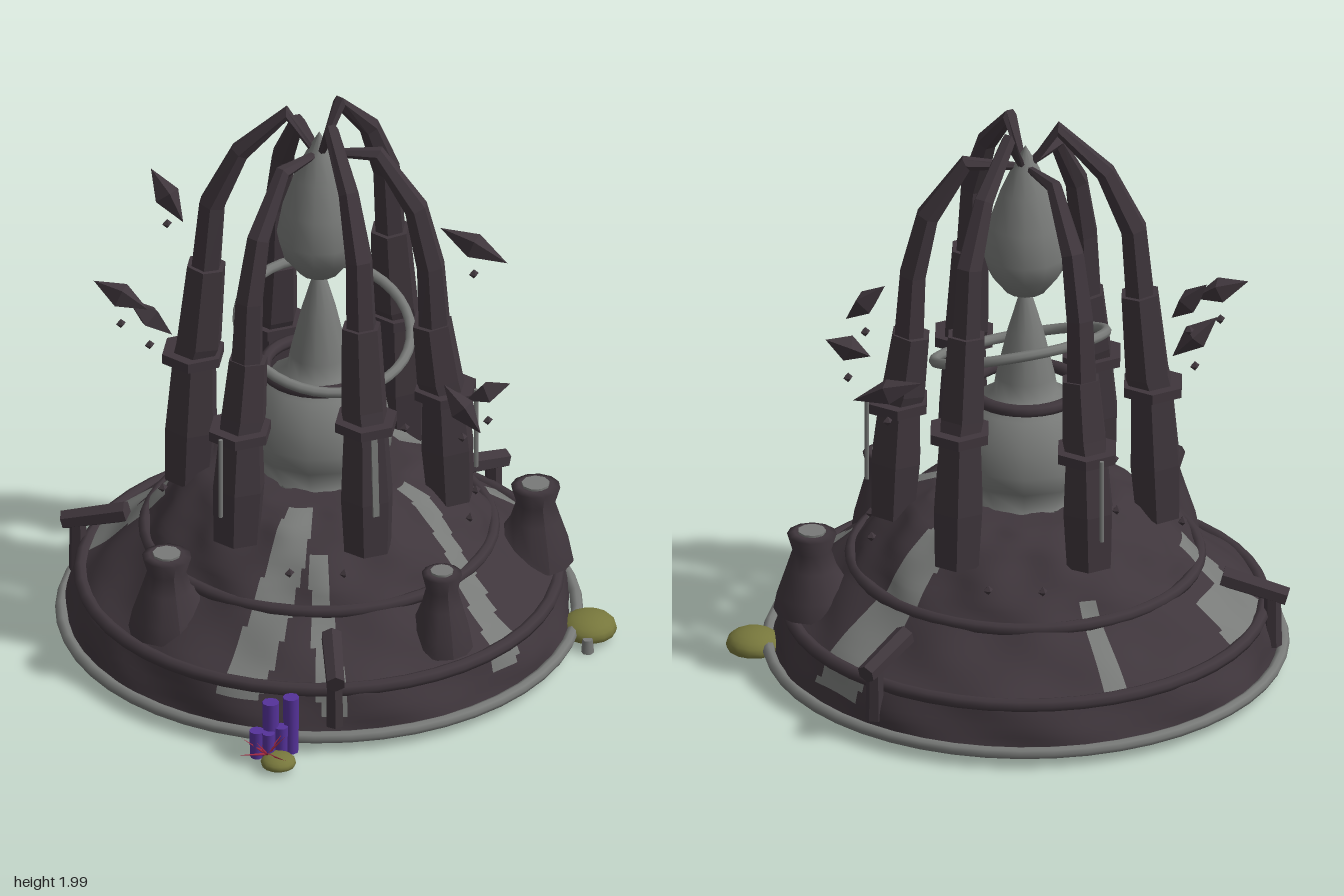
import * as THREE from 'three';

const mat = (name, color, extra = {}) => new THREE.MeshStandardMaterial({ name, color, ...extra });
const rad = THREE.MathUtils.degToRad;
const UP = new THREE.Vector3(0, 1, 0);

export function createModel() {
  const dark = mat('dark stone', 0x3f363c, { flatShading: true });
  const shell = mat('smooth dark stone', 0x3f363c);
  const grey = mat('pale grey', 0x787a78);
  const purple = mat('purple coral', 0x55329a);
  const olive = mat('olive sponge', 0x77773c);
  const red = mat('red coral', 0xa82a44);

  const model = new THREE.Group();
  model.name = 'tower';
  const body = new THREE.Group();
  body.name = 'body';
  body.position.set(-0.006, 0, -0.015);
  model.add(body);

  const add = (name, geo, material, pos = [0, 0, 0], rot = [0, 0, 0], parent = body) => {
    const m = new THREE.Mesh(geo, material);
    m.name = name;
    m.position.set(...pos);
    m.rotation.set(...rot);
    parent.add(m);
    return m;
  };
  const spoke = (name, degrees) => {
    const g = new THREE.Group();
    g.name = name;
    g.rotation.y = rad(degrees);
    body.add(g);
    return g;
  };
  const lathe = (pts, n) => new THREE.LatheGeometry(pts.map(p => new THREE.Vector2(...p)), n);

  // Trim the foot of a part so that it follows the slope of the mound
  const settle = (geo) => {
    const p = geo.attributes.position;
    for (let i = 0; i < p.count; i++) {
      const slope = 0.2 + 0.92 * (0.805 - Math.hypot(p.getX(i), p.getZ(i)));
      p.setY(i, Math.max(p.getY(i), slope - 0.035));
    }
    geo.computeVertexNormals();
    return geo;
  };

  // Loft of polygon rings along a path of [radius from axis, height, thickness]
  const loft = (path, n = 6) => {
    const pos = [], idx = [];
    path.forEach(([r, y, t], i) => {
      const a = path[Math.max(i - 1, 0)], b = path[Math.min(i + 1, path.length - 1)];
      const tan = new THREE.Vector2(b[0] - a[0], b[1] - a[1]).normalize();
      for (let j = 0; j < n; j++) {
        const c = Math.cos(j / n * Math.PI * 2) * t, s = Math.sin(j / n * Math.PI * 2) * t;
        pos.push(c, y + tan.x * s, r - tan.y * s);
      }
    });
    for (let i = 0; i < path.length - 1; i++) for (let j = 0; j < n; j++) {
      const a = i * n + j, b = i * n + (j + 1) % n;
      idx.push(a, b, b + n, a, b + n, a + n);
    }
    const top = (path.length - 1) * n;
    for (let j = 1; j < n - 1; j++) idx.push(0, j + 1, j, top, top + j, top + j + 1);
    const g = new THREE.BufferGeometry();
    g.setAttribute('position', new THREE.Float32BufferAttribute(pos, 3));
    g.setIndex(idx);
    const flat = g.toNonIndexed();
    flat.computeVertexNormals();
    return flat;
  };

  // Mound: wavy revolved shell with pale streaks chosen cell by cell
  const profile = [[0.856, 0.03], [0.838, 0.11], [0.805, 0.2], [0.74, 0.25], [0.67, 0.31], [0.59, 0.38],
    [0.545, 0.44], [0.48, 0.51], [0.4, 0.58], [0.31, 0.618], [0.2, 0.622]];
  // Streaks: [angle at foot, angle at top, width at foot, width at top, lowest height, highest height]
  const streaks = [[-43, -33, 9, 16, 0.15, 0.618], [-17, -23, 7, 7, 0.12, 0.53], [25, 40, 7, 11, 0.14, 0.618],
    [100, 106, 14, 18, 0.12, 0.618], [174, 173, 6, 6, 0.18, 0.44], [226, 228, 26, 26, 0.2, 0.33],
    [236, 236, 12, 12, 0.33, 0.46]];
  const mound = (inside) => {
    const n = 240, sub = 4, rows = (profile.length - 1) * sub, pos = [], base = [], pale = [], heights = [];
    for (let i = 0; i <= rows; i++) {
      const k = Math.min(Math.floor(i / sub), profile.length - 2), f = i / sub - k;
      const r = THREE.MathUtils.lerp(profile[k][0], profile[k + 1][0], f);
      const y = THREE.MathUtils.lerp(profile[k][1], profile[k + 1][1], f);
      heights.push(y);
      for (let j = 0; j < n; j++) {
        const a = j / n * Math.PI * 2, p = i / sub;
        const w = r + 0.008 * Math.sin(a * 9 + p * 1.7) + 0.006 * Math.sin(a * 14 - p) - (inside ? 0.008 : 0);
        pos.push(Math.sin(a) * w, y - (inside ? 0.004 : 0), Math.cos(a) * w);
      }
    }
    for (let i = 0; i < rows; i++) for (let j = 0; j < n; j++) {
      const y = (heights[i] + heights[i + 1]) / 2, deg = (j + 0.5) * 360 / n, t = (y - 0.03) / 0.59;
      const hit = !inside && streaks.some(([a0, a1, w0, w1, y0, y1]) => y > y0 && y < y1 &&
        Math.abs((deg - a0 - (a1 - a0) * t + 900) % 360 - 180) < (w0 + (w1 - w0) * t) / 2);
      const a = i * n + j, b = i * n + (j + 1) % n;
      const f = [a, b, b + n, a, b + n, a + n];
      (hit ? pale : base).push(...(inside ? f.reverse() : f));
    }
    const g = new THREE.BufferGeometry();
    g.setAttribute('position', new THREE.Float32BufferAttribute(pos, 3));
    g.setIndex([...base, ...pale]);
    g.addGroup(0, base.length, 0);
    g.addGroup(base.length, pale.length, 1);
    g.computeVertexNormals();
    return g;
  };
  add('mound', mound(false), [shell, grey]);
  add('moundInside', mound(true), [shell, grey]);

  // Hoops round the mound
  [[0.87, 0.052, 0.021, grey], [0.805, 0.2, 0.024, shell], [0.588, 0.378, 0.022, shell]].forEach(([r, y, t, m]) =>
    add('hoop', new THREE.TorusGeometry(r, t, 8, 48), m, [0, y, 0], [Math.PI / 2, 0, 0]));

  // Centre: round bulb with spire, hanging drop and rings
  add('bulb', lathe([[0, 0.6], [0.29, 0.605], [0.2, 0.62], [0.245, 0.71], [0.25, 0.77], [0.235, 0.86], [0.18, 0.95],
    [0.11, 0.99], [0.1, 1.05], [0.06, 1.22], [0.025, 1.34], [0, 1.38]], 12), grey);
  add('drop', lathe([[0, 1.355], [0.07, 1.37], [0.125, 1.44], [0.145, 1.51], [0.125, 1.62], [0.085, 1.74],
    [0.045, 1.83], [0, 1.91]], 12), grey);
  add('bulbCollar', new THREE.TorusGeometry(0.185, 0.022, 8, 28), shell, [0, 1, 0], [Math.PI / 2, 0, 0]);
  add('tiltedRing', new THREE.TorusGeometry(0.295, 0.018, 8, 40), grey, [0.015, 1.155, 0.01], [Math.PI / 2 + rad(21), 0, 0]);

  // Six columns, alternately tall and short, with legs curving in to the top
  for (let i = 0; i < 6; i++) {
    const tall = i % 2 === 0, g = spoke('column', i * 60);
    const top = tall ? 1.36 : 1.2, collar = tall ? 1.01 : 0.94;
    add('sleeve', settle(loft([[0.445, 0.53, 0.085], [0.437, 0.73, 0.094], [0.425, collar, 0.078],
      [0.41, collar + 0.05, 0.082], [0.385, top, 0.07]])), dark, [0, 0, 0], [0, 0, 0], g);
    add('leg', loft(tall
      ? [[0.39, 1.3, 0.055], [0.365, 1.6, 0.048], [0.27, 1.81, 0.036], [0.11, 1.972, 0.026], [0.015, 1.83, 0.012]]
      : [[0.395, 1.15, 0.058], [0.38, 1.42, 0.05], [0.33, 1.64, 0.042], [0.2, 1.84, 0.028], [0.015, 1.83, 0.012]]),
    dark, [0, 0, 0], [0, 0, 0], g);
    add('columnCollar', new THREE.CylinderGeometry(0.112, 0.112, 0.035, 6), dark, [0, collar, 0.43], [0, Math.PI / 6, 0], g);
    if (!tall) add('hangingRod', new THREE.CylinderGeometry(0.008, 0.008, 0.3, 5), grey, [0, 0.8, 0.535], [0, 0, 0], g);
    else if (i === 0) add('inlay', new THREE.BoxGeometry(0.022, 0.3, 0.008), grey, [0, 0.84, 0.513], [-0.06, 0, 0], g);
  }

  // Chimney urns standing on the slope
  [[-0.64, 0.22, 1], [0.69, 0.24, 1], [0.18, 0.67, 0.82]].forEach(([x, z, s]) => {
    const urn = lathe([[0.13, 0], [0.118, 0.06], [0.085, 0.16], [0.066, 0.22], [0.084, 0.28], [0.06, 0.288], [0, 0.275]], 12);
    add('chimney', settle(urn.scale(s, 1, s).translate(x, 0.23, z)), shell);
    add('chimneyOpening', new THREE.CylinderGeometry(0.048 * s, 0.048 * s, 0.012, 9), grey, [x, 0.517, z]);
  });

  // Brackets: a post at the rim with a sloping arm
  [-18, 114, -126].forEach(a => {
    const g = spoke('bracket', a);
    add('post', new THREE.CylinderGeometry(0.028, 0.032, 0.21, 6), dark, [0, 0.19, 0.84], [0, 0, 0], g);
    add('arm', new THREE.CylinderGeometry(0.034, 0.038, 0.23, 6), dark, [0, 0.3, 0.78], [Math.PI / 2 + 0.28, 0, 0], g);
  });

  // Floating shards as [centre, half-length vector], each with a small fragment beneath
  [[[-0.64, 1.3, -0.2], [0.075, -0.04, 0.06]], [[-0.52, 1.17, -0.24], [0.07, -0.07, 0.03]],
    [[0.64, 1.22, -0.2], [0.09, -0.045, 0.08]], [[0.43, 1.05, 0.46], [0.07, 0.035, 0.03]],
    [[0.27, 1.11, 0.63], [-0.045, 0.075, -0.055]], [[-0.35, 1.46, -0.51], [-0.035, 0.08, -0.06]]].forEach(([c, d]) => {
    const axis = new THREE.Vector3(...d);
    const shard = add('shard', new THREE.OctahedronGeometry(1), dark, c);
    shard.scale.set(0.045, axis.length(), 0.045);
    shard.quaternion.setFromUnitVectors(UP, axis.normalize());
    add('fragment', new THREE.OctahedronGeometry(0.018), dark, [c[0], c[1] - 0.11, c[2]]);
  });
  // Studs scattered on the slope
  for (let i = 0; i < 14; i++) {
    const a = i * 2.4, low = i % 2;
    const r = low ? 0.53 : 0.36;
    add('stud', new THREE.OctahedronGeometry(0.018), dark, [Math.sin(a) * r, low ? 0.49 : 0.63, Math.cos(a) * r]);
  }

  // Coral cluster at the front right foot
  [[-0.43, 0.8, 0.21, 0.028], [-0.5, 0.79, 0.2, 0.029], [-0.55, 0.79, 0.1, 0.026], [-0.47, 0.81, 0.11, 0.024],
    [-0.52, 0.82, 0.1, 0.022]].forEach(([x, z, h, r]) =>
    add('coralTube', new THREE.CylinderGeometry(r, r * 0.9, h, 9), purple, [x, 0.025 + h / 2, z], [0, 0, 0], model));
  for (let i = 0; i < 10; i++)
    add('coralSpike', new THREE.ConeGeometry(0.006, 0.1, 4).translate(0, 0.05, 0), red,
      [-0.53, 0.05, 0.83], [0, i * 0.63, -0.7 - (i % 3) * 0.35], model);

  // Sponges and a pebble touching the ground
  const dome = new THREE.SphereGeometry(1, 14, 6, 0, Math.PI * 2, 0, Math.PI * 0.6);
  const sponge = new THREE.Group();
  sponge.name = 'sponges';
  model.add(sponge);
  [[-0.5, 0.03, 0.86, 0.06, 0.03], [0.8, 0.042, 0.42, 0.095, 0.052]].forEach(([x, y, z, r, h]) => {
    add('sponge', dome, olive, [x, y, z], [0, 0, 0], sponge).scale.set(r, h, r);
    add('spongeUnderside', new THREE.CircleGeometry(r * 0.95, 14), olive, [x, y - h * 0.3, z], [Math.PI / 2, 0, 0], sponge);
  });
  add('pebble', new THREE.CylinderGeometry(0.018, 0.022, 0.05, 6), grey, [0.76, 0.025, 0.51], [0, 0, 0], model);
  return model;
}
